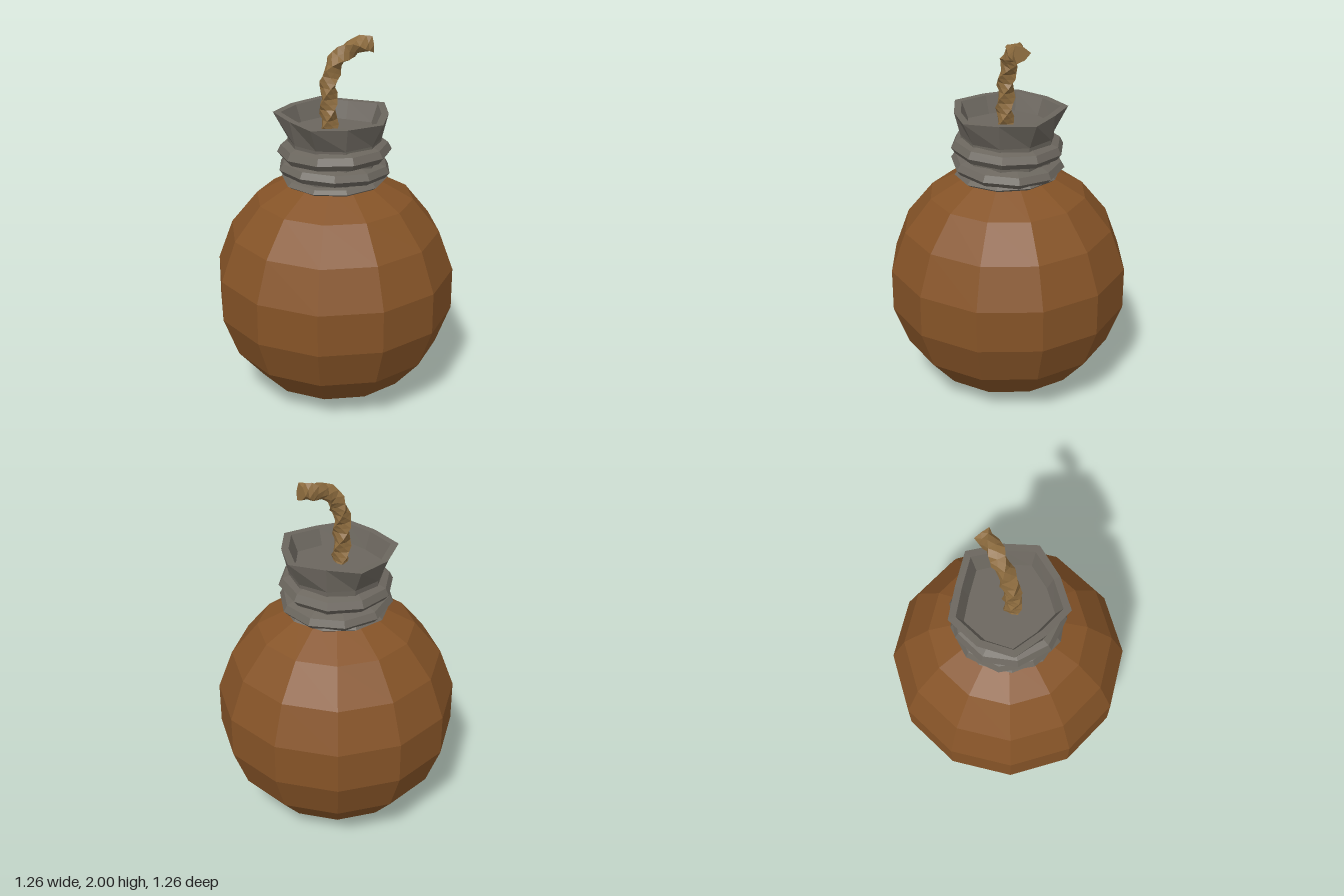
import * as THREE from 'three';

const flat = (name, color) => {
  const m = new THREE.MeshStandardMaterial({ color, flatShading: true });
  m.name = name;
  return m;
};

// Skins a stack of closed rings; each ring is an array of Vector3
function loft(rings) {
  const n = rings[0].length;
  const positions = rings.flat().flatMap((p) => [p.x, p.y, p.z]);
  const index = [];
  for (let r = 0; r < rings.length - 1; r++) {
    for (let i = 0; i < n; i++) {
      const a = r * n + i, b = r * n + ((i + 1) % n);
      index.push(a, b, a + n, b, b + n, a + n);
    }
  }
  const g = new THREE.BufferGeometry();
  g.setAttribute('position', new THREE.Float32BufferAttribute(positions, 3));
  g.setIndex(index);
  g.computeVertexNormals();
  return g;
}

const lathe = (profile, sides, start = 0) =>
  new THREE.LatheGeometry(profile.map(([r, y]) => new THREE.Vector2(r, y)), sides, start);

export function createModel() {
  const group = new THREE.Group();
  const clay = flat('brown shell', 0x855327);
  const metal = flat('grey collar', 0x6b665e);
  const hemp = flat('tan rope', 0x8c6b3e);
  const add = (name, geometry, material) => {
    const mesh = new THREE.Mesh(geometry, material);
    mesh.name = name;
    group.add(mesh);
    return mesh;
  };

  // Twelve-sided round body
  add('body', lathe([
    [0, 0], [0.225, 0], [0.425, 0.12], [0.57, 0.29], [0.651, 0.51],
    [0.651, 0.74], [0.57, 0.96], [0.425, 1.14], [0.225, 1.25], [0, 1.25],
  ], 12, Math.PI / 12), clay);

  // Neck flaring into an uneven open mouth with a sunken floor
  const rim = [
    [0.03, 0.28], [0.22, 0.23], [0.28, 0.05], [0.29, -0.14], [0.12, -0.24],
    [-0.04, -0.32], [-0.21, -0.22], [-0.32, -0.06], [-0.25, 0.13], [-0.16, 0.28],
  ];
  const rimHeight = [1.595, 1.6, 1.605, 1.61, 1.605, 1.605, 1.6, 1.605, 1.605, 1.6];
  const scaledRim = (s, y) => rim.map(([x, z], i) =>
    new THREE.Vector3(x * s - 0.01 * (1 - s), y ?? rimHeight[i], z * s));
  const neckRing = (radius, y) => rim.map(([x, z]) => {
    const k = radius / Math.hypot(x, z);
    return new THREE.Vector3(x * k, y, z * k);
  });
  add('collar', loft([
    neckRing(0.24, 1.225), neckRing(0.25, 1.47), scaledRim(1), scaledRim(0.87),
    scaledRim(0.75, 1.51), scaledRim(0, 1.51),
  ]), metal);

  // Slightly tilted bands wound round the neck: y, radius, half height, tilts, turn
  const bands = [
    [1.405, 0.305, 0.05, 0.035, 0.015, 0.2],
    [1.31, 0.305, 0.045, 0.05, -0.035, 0.5],
    [1.255, 0.285, 0.025, -0.02, 0.02, 0.1],
  ];
  bands.forEach(([y, r, h, tiltX, tiltZ, turn], i) => {
    const band = add(`collarBand${i + 1}`, lathe([
      [0.235, -h], [r - 0.025, -h * 0.75], [r, -h * 0.1], [r - 0.02, h * 0.65], [0.235, h],
    ], 10, turn), metal);
    band.position.y = y;
    band.rotation.set(-tiltX, 0, tiltZ);
  });

  // Twisted rope fuse bending over to one side
  const path = new THREE.CatmullRomCurve3([
    [-0.03, 1.49, 0.015], [-0.032, 1.62, 0.012], [-0.03, 1.76, 0.005],
    [0.005, 1.87, -0.01], [0.085, 1.938, -0.03], [0.2, 1.956, -0.062],
  ].map((p) => new THREE.Vector3(...p)));
  const steps = 22, sides = 6;
  const frames = path.computeFrenetFrames(steps);
  const section = (k, scale) => Array.from({ length: sides }, (_, i) => {
    const a = (i / sides) * Math.PI * 2 + k * 0.42;
    const r = (i % 2 ? 0.036 : 0.051) * scale;
    return path.getPointAt(k / steps)
      .addScaledVector(frames.normals[k], Math.cos(a) * r)
      .addScaledVector(frames.binormals[k], Math.sin(a) * r);
  });
  const sections = Array.from({ length: steps + 1 }, (_, k) => section(k, k % 2 ? 0.93 : 1.03));
  add('fuse', loft([...sections, section(steps, 0)]), hemp);

  return group;
}
